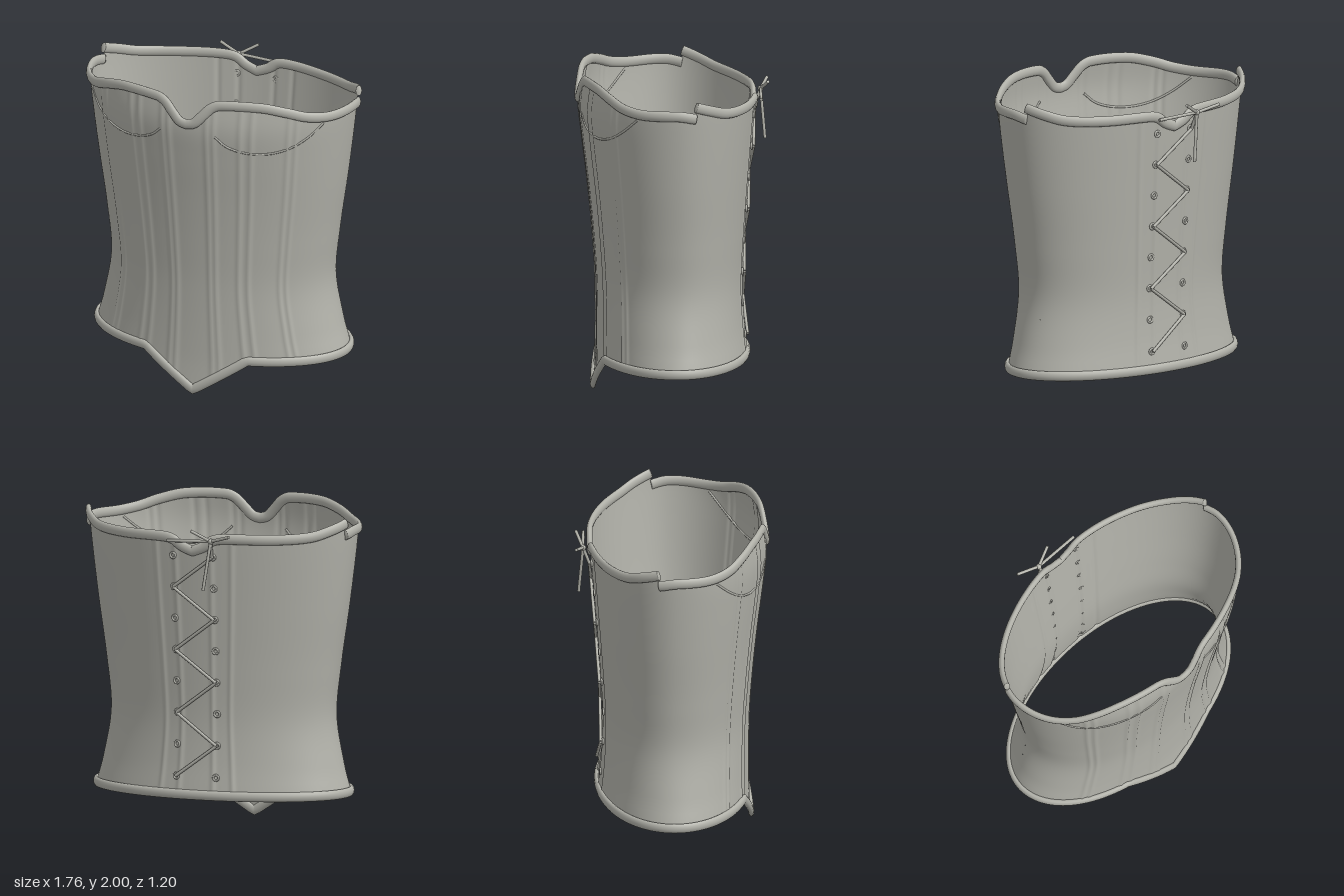
import * as THREE from 'three';
import { mergeVertices } from 'three/addons/utils/BufferGeometryUtils.js';

const RAD = Math.PI / 180;
const SIDE = 101.5; // angle of the side seams, measured from the front

// Smooth function through [input, output] points
function curve(pts) {
  const n = pts.length;
  const slope = pts.map((_, i) => {
    const a = pts[Math.max(i - 1, 0)], b = pts[Math.min(i + 1, n - 1)];
    return (b[1] - a[1]) / (b[0] - a[0]);
  });
  return (x) => {
    let i = 0;
    while (i < n - 2 && x > pts[i + 1][0]) i++;
    const [x0, y0] = pts[i], [x1, y1] = pts[i + 1];
    const h = x1 - x0, t = THREE.MathUtils.clamp((x - x0) / h, 0, 1), s = 1 - t;
    return y0 * (1 + 2 * t) * s * s + slope[i] * h * t * s * s
      + y1 * t * t * (3 - 2 * t) - slope[i + 1] * h * t * t * s;
  };
}

// Body profiles by height
const halfWidth = curve([[0, 0.84], [0.22, 0.822], [0.4, 0.775], [0.7, 0.722], [1, 0.748], [1.4, 0.805], [1.8, 0.853], [2, 0.868]]);
const frontDepth = curve([[0, 0.483], [0.25, 0.468], [0.7, 0.47], [1, 0.49], [1.3, 0.52], [1.6, 0.557], [1.8, 0.575], [2, 0.55]]);
const backDepth = curve([[0, 0.47], [0.22, 0.455], [0.45, 0.43], [0.7, 0.42], [1, 0.435], [1.4, 0.465], [1.9, 0.505], [2, 0.505]]);

// Edge heights by angle in degrees
const frontTop = curve([[0, 1.85], [3.3, 1.865], [6.6, 1.915], [10, 1.968], [14, 1.993], [31, 1.993], [43, 1.96], [54, 1.92], [67, 1.9], [90, 1.9], [102, 1.88]]);
const backTop = curve([[101, 1.955], [113, 1.92], [126, 1.885], [145, 1.872], [166, 1.872], [171, 1.86], [175, 1.82], [180, 1.79]]);
const bottomEdge = (deg) => {
  const x = Math.abs(0.83 * Math.sin(deg * RAD));
  return Math.cos(deg * RAD) > 0 && x < 0.34 ? 0.22 * x / 0.34 : 0.22;
};

// Boning channels: slight vertical ridges at these angles
const CHANNELS = [8.5, 11.5, 23, 28, 45, 49, 163, 172];
function ridge(deg) {
  const d = Math.abs(deg > 180 ? 360 - deg : deg);
  return CHANNELS.reduce((sum, c) => sum + 0.007 * Math.exp(-(((d - c) / 1.1) ** 2)), 0);
}

function outward(deg, y) {
  const s = Math.sin(deg * RAD), c = Math.cos(deg * RAD);
  const d = c > 0 ? frontDepth(y) : backDepth(y);
  return new THREE.Vector3(s / halfWidth(y), 0, c / d).normalize();
}

function onBody(deg, y, offset = 0) {
  const s = Math.sin(deg * RAD), c = Math.cos(deg * RAD);
  const d = c > 0 ? frontDepth(y) : backDepth(y);
  return new THREE.Vector3(s * halfWidth(y), y, c * d)
    .addScaledVector(outward(deg, y), offset);
}

// Surface from a rule f(i, j), welded where it closes on itself
function grid(nu, nv, f) {
  const pos = [], index = [];
  for (let i = 0; i <= nu; i++) {
    for (let j = 0; j <= nv; j++) {
      pos.push(...f(i, j).toArray());
      if (i < nu && j < nv) {
        const a = i * (nv + 1) + j, b = a + nv + 1;
        index.push(a, b, b + 1, a, b + 1, a + 1);
      }
    }
  }
  let g = new THREE.BufferGeometry();
  g.setAttribute('position', new THREE.Float32BufferAttribute(pos, 3));
  g.setIndex(index);
  g = mergeVertices(g, 1e-5);
  g.computeVertexNormals();
  return g;
}

// Cloth panel between the bottom edge and a top edge
function panel(from, to, top) {
  const nu = 240, nv = 40;
  return grid(nu, nv, (i, j) => {
    const deg = from + (to - from) * i / nu;
    const y = THREE.MathUtils.lerp(bottomEdge(deg) + 0.03, top(deg) - 0.03, j / nv);
    return onBody(deg, y, ridge(deg));
  });
}

// Rounded binding swept along an edge; open ends are closed to a point
function binding(from, to, edge, closed, thick = 0.019, tall = 0.032) {
  const nu = 260, nv = 12;
  return grid(nu, nv, (i, j) => {
    const t = closed ? i / nu : THREE.MathUtils.clamp((i - 1) / (nu - 2), 0, 1);
    const deg = from + (to - from) * t;
    const size = !closed && (i === 0 || i === nu) ? 0 : 1;
    const tangent = onBody(deg + 0.4, edge(deg + 0.4)).sub(onBody(deg - 0.4, edge(deg - 0.4))).normalize();
    const n = outward(deg, edge(deg));
    n.addScaledVector(tangent, -n.dot(tangent)).normalize();
    const up = new THREE.Vector3().crossVectors(n, tangent);
    const a = (j % nv) / nv * Math.PI * 2;
    return onBody(deg, edge(deg), 0.004)
      .addScaledVector(n, Math.cos(a) * thick * size)
      .addScaledVector(up, Math.sin(a) * tall * size);
  });
}

export function createModel() {
  const cloth = new THREE.MeshStandardMaterial({ color: 0xb2b2aa, side: THREE.DoubleSide });
  cloth.name = 'warm grey cloth';
  const model = new THREE.Group();
  model.name = 'corset';

  const add = (name, geometry, parent = model) => {
    const mesh = new THREE.Mesh(geometry, cloth);
    mesh.name = name;
    parent.add(mesh);
    return mesh;
  };
  const group = (name) => {
    const g = new THREE.Group();
    g.name = name;
    model.add(g);
    return g;
  };

  // Front and back panels
  const topF = (d) => frontTop(Math.abs(d));
  const topB = (d) => backTop(d > 180 ? 360 - d : d);
  add('frontPanel', panel(-SIDE, SIDE, topF));
  add('backPanel', panel(SIDE, 360 - SIDE, topB));

  // Bindings along the edges
  add('frontTopBinding', binding(-SIDE, SIDE, (d) => topF(d) - 0.032, false));
  add('backTopBinding', binding(SIDE, 360 - SIDE, (d) => topB(d) - 0.032, false));
  add('bottomBinding', binding(0, 360, (d) => bottomEdge(d) + 0.03, true, 0.018, 0.03));

  // Curved seams under the bust
  const seams = group('bustSeams');
  for (const side of [-1, 1]) {
    const pts = [[12, 1.76], [17, 1.7], [24, 1.665], [34, 1.655], [44, 1.68], [54, 1.74], [64, 1.83]]
      .map(([deg, y]) => onBody(side * deg, y, 0.001));
    add('bustSeam', new THREE.TubeGeometry(new THREE.CatmullRomCurve3(pts), 50, 0.007, 6), seams);
  }

  // Eyelets in two columns down the back
  const eyelets = group('eyelets');
  const rowY = (row) => 0.36 + row * 0.195;
  const eyeletAngle = (side, y) => 180 - side * Math.asin(0.13 / halfWidth(y)) / RAD;
  const eyeletAt = (side, row, offset) => onBody(eyeletAngle(side, rowY(row)), rowY(row), offset);
  for (const side of [-1, 1]) {
    for (let row = 0; row < 8; row++) {
      const ring = add('eyelet', new THREE.TorusGeometry(0.017, 0.007, 6, 14), eyelets);
      ring.position.copy(eyeletAt(side, row, 0.007));
      ring.lookAt(ring.position.clone().add(outward(eyeletAngle(side, rowY(row)), rowY(row))));
    }
  }

  // Zigzag lace and the tied ends
  const lacing = group('lacing');
  const strand = (name, a, b) => {
    const mesh = add(name, new THREE.CylinderGeometry(0.01, 0.01, a.distanceTo(b), 8), lacing);
    mesh.position.copy(a).lerp(b, 0.5);
    mesh.quaternion.setFromUnitVectors(new THREE.Vector3(0, 1, 0), b.clone().sub(a).normalize());
  };
  for (let row = 0; row < 7; row++) {
    const side = row % 2 ? -1 : 1;
    strand('lace', eyeletAt(side, row, 0.02), eyeletAt(-side, row + 1, 0.02));
  }
  const V = (x, y, z) => new THREE.Vector3(x, y, z);
  const knot = V(-0.14, 1.83, -0.545);
  strand('lace', eyeletAt(-1, 7, 0.02), knot);
  strand('lace', V(0.15, 1.82, -0.535), knot);
  for (const end of [V(-0.28, 1.87, -0.59), V(-0.025, 1.895, -0.585), V(-0.1, 1.53, -0.57)]) {
    strand('laceEnd', knot, end);
  }
  add('knot', new THREE.SphereGeometry(0.018, 12, 8), lacing).position.copy(knot);

  return model;
}
